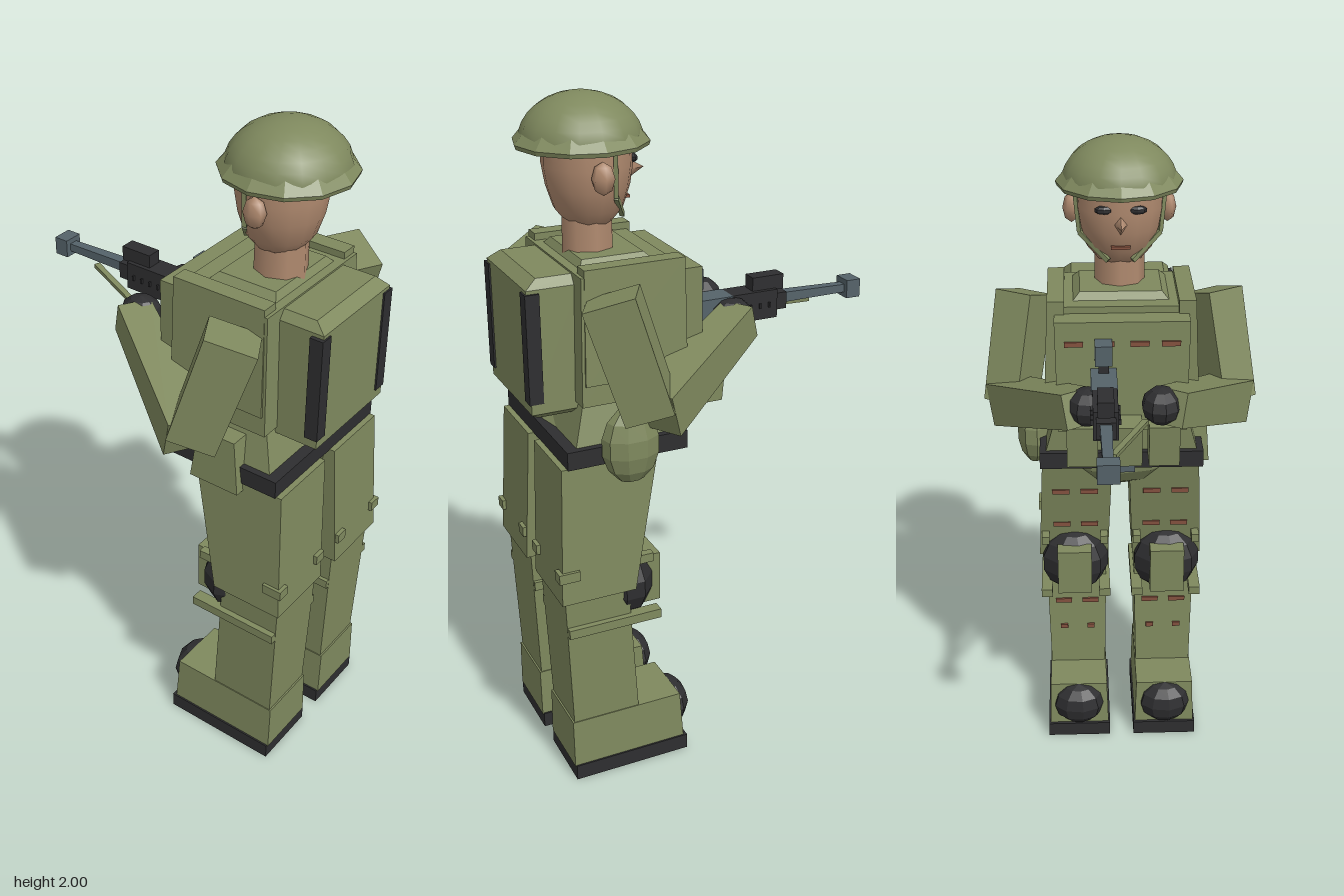
import * as THREE from 'three';

const mat = (name, color, flat = true) => {
  const m = new THREE.MeshStandardMaterial({ color, flatShading: flat });
  m.name = name;
  return m;
};

export function createModel() {
  const model = new THREE.Group();
  model.name = 'soldier';
  const olive = mat('olive cloth', 0x7f895e);
  const smoothOlive = mat('helmet olive', 0x7f895e, false);
  const dark = mat('black rubber', 0x2e2e30);
  const skin = mat('skin', 0xb08a6f, false);
  const metal = mat('gun metal', 0x55636a);
  const red = mat('rust trim', 0x85523f);

  const add = (name, geo, m, x = 0, y = 0, z = 0) => {
    const mesh = new THREE.Mesh(geo, m);
    mesh.name = name;
    mesh.position.set(x, y, z);
    model.add(mesh);
    return mesh;
  };

  // Tapered block between two rectangles [x0, x1, z0, z1] at heights y0 and y1
  const block = (name, m, y0, a, y1, b = a) => {
    const g = new THREE.BoxGeometry(1, 1, 1);
    const p = g.attributes.position;
    for (let i = 0; i < p.count; i++) {
      const r = p.getY(i) < 0 ? a : b;
      p.setXYZ(i, p.getX(i) < 0 ? r[0] : r[1], p.getY(i) < 0 ? y0 : y1, p.getZ(i) < 0 ? r[2] : r[3]);
    }
    g.computeVertexNormals();
    return add(name, g, m);
  };

  // Box running from point a to point b, narrowing by the factor taper
  const limb = (name, m, a, b, w, h, taper = 1) => {
    const A = new THREE.Vector3(...a), B = new THREE.Vector3(...b);
    const g = new THREE.BoxGeometry(w, h, A.distanceTo(B));
    const p = g.attributes.position;
    for (let i = 0; i < p.count; i++)
      if (p.getZ(i) > 0) p.setXY(i, p.getX(i) * taper, p.getY(i) * taper);
    const mesh = add(name, g, m);
    mesh.position.copy(A).add(B).multiplyScalar(0.5);
    mesh.lookAt(B);
    return mesh;
  };

  const ball = (name, m, c, r, seg = 9, rows = 6) => {
    const mesh = add(name, new THREE.SphereGeometry(1, seg, rows), m, ...c);
    mesh.scale.set(...r);
    return mesh;
  };
  const lathe = (pts, seg) => new THREE.LatheGeometry(pts.map(p => new THREE.Vector2(...p)), seg);
  // Rectangle for either side of the body
  const side = (s, x0, x1, z0, z1) => (s > 0 ? [x0, x1, z0, z1] : [-x1, -x0, z0, z1]);
  const trim = (name, w, x, y, z) => add(name, new THREE.BoxGeometry(w, 0.015, 0.009), red, x, y, z);

  // Head, facing -z
  add('head', lathe([[0, 1.642], [0.062, 1.645], [0.1, 1.69], [0.12, 1.75], [0.13, 1.81], [0.127, 1.89]], 16),
    skin, 0, 0, 0.29).scale.z = 0.95;
  add('neck', new THREE.CylinderGeometry(0.073, 0.075, 0.15, 8), skin, 0, 1.61, 0.295);
  const nose = add('nose', new THREE.ConeGeometry(0.022, 0.06, 4), skin, 0, 1.78, 0.155);
  nose.rotation.x = -Math.PI / 2;
  nose.scale.z = 1.6;
  add('mouth', new THREE.BoxGeometry(0.055, 0.008, 0.02), red, 0, 1.71, 0.188);
  for (const s of [-1, 1]) {
    ball('ear', skin, [s * 0.14, 1.795, 0.3], [0.026, 0.045, 0.033], 6, 4);
    ball('eye', dark, [s * 0.048, 1.822, 0.18], [0.028, 0.013, 0.014], 8, 5);
    limb('helmetStrap', olive, [s * 0.13, 1.87, 0.26], [s * 0.117, 1.735, 0.255], 0.012, 0.012);
    limb('chinStrap', olive, [s * 0.117, 1.735, 0.255], [s * 0.035, 1.665, 0.205], 0.012, 0.014);
  }

  // Helmet
  const dome = add('helmetDome', new THREE.SphereGeometry(1, 16, 8, 0, Math.PI * 2, 0, Math.PI / 2), smoothOlive, 0, 1.87, 0.305);
  dome.scale.set(0.168, 0.13, 0.168);
  add('helmetBrim', lathe([[0, 1.872], [0.15, 1.872], [0.182, 1.86], [0.186, 1.872], [0.158, 1.905]], 12), olive, 0, 0, 0.305);

  // Torso, chest plate, shoulder straps and collar
  block('torso', olive, 1.2, [-0.225, 0.225, 0.11, 0.41], 1.56, [-0.215, 0.215, 0.11, 0.4]);
  block('waist', olive, 1.07, [-0.235, 0.235, 0.13, 0.44], 1.2, [-0.2, 0.2, 0.12, 0.4]);
  block('collar', olive, 1.55, [-0.15, 0.15, 0.15, 0.38], 1.58, [-0.12, 0.12, 0.18, 0.36]);
  block('chestPlate', olive, 1.2, [-0.19, 0.19, 0.035, 0.12], 1.54, [-0.195, 0.195, 0.04, 0.12]);
  for (const s of [-1, 1])
    block('shoulderStrap', olive, 1.26, side(s, 0.17, 0.23, 0.1, 0.4), 1.58, side(s, 0.165, 0.215, 0.1, 0.39));
  for (const x of [-0.14, -0.05, 0.05, 0.14]) trim('chestTrim', 0.055, x, 1.475, 0.037);
  for (const x of [-0.12, -0.01, 0.12])
    block('chestPouch', olive, 1.12, [x - 0.045, x + 0.045, -0.04, 0.05], 1.25, [x - 0.045, x + 0.045, -0.052, 0.07]);

  // Backpack with black straps
  block('backpack', olive, 1.18, [-0.165, 0.17, 0.39, 0.535], 1.53, [-0.16, 0.165, 0.39, 0.535]);
  block('packLid', olive, 1.53, [-0.16, 0.165, 0.39, 0.535], 1.555, [-0.14, 0.145, 0.39, 0.5]);
  block('packBase', olive, 1.16, [-0.14, 0.145, 0.39, 0.51], 1.18, [-0.165, 0.17, 0.39, 0.535]);
  for (const s of [-1, 1])
    block('packStrap', dark, 1.21, side(s, 0.132, 0.172, 0.5, 0.54), 1.52);

  // Belt, hips and belt gear
  block('belt', dark, 1.035, [-0.25, 0.25, 0.11, 0.468], 1.088);
  block('buckle', metal, 1.03, [-0.04, 0.04, 0.09, 0.12], 1.09);
  ball('hips', olive, [0, 1.035, 0.31], [0.2, 0.14, 0.15], 12, 8);
  ball('canteen', olive, [0.268, 1.09, 0.29], [0.056, 0.115, 0.085], 9, 7);
  block('beltPouch', olive, 1.01, [-0.275, -0.2, 0.2, 0.36], 1.17, [-0.265, -0.2, 0.22, 0.34]);

  for (const s of [-1, 1]) {
    // Legs
    block('thigh', olive, 0.625, side(s, 0.04, 0.265, 0.28, 0.505), 1.037, side(s, 0.025, 0.245, 0.2, 0.485));
    block('shin', olive, 0.18, side(s, 0.053, 0.235, 0.265, 0.472), 0.63, side(s, 0.045, 0.245, 0.295, 0.49));
    for (const x of [0.053, 0.243]) {
      block('shinStrap', olive, 0.507, side(s, x - 0.018, x + 0.018, 0.2, 0.485), 0.535);
      block('kneeStrap', olive, 0.698, side(s, x - 0.012, x + 0.012, 0.22, 0.44), 0.725);
      block('strapStud', olive, 0.698, side(s, x - 0.013, x + 0.026, 0.45, 0.512), 0.728);
    }
    ball('kneePad', dark, [s * 0.15, 0.61, 0.275], [0.112, 0.112, 0.085], 9, 7);
    block('kneePlate', olive, 0.535, side(s, 0.095, 0.205, 0.178, 0.23), 0.69);
    for (const x of [0.1, 0.19]) {
      trim('thighTrim', 0.055, s * x, 0.89, 0.226);
      trim('kneeTrim', 0.055, s * x, 0.755, 0.253);
      trim('shinTrim', 0.055, s * x, 0.44, 0.281);
      trim('ankleTrim', 0.025, s * x, 0.34, 0.274);
    }

    // Boots
    block('sole', dark, 0, side(s, 0.04, 0.248, 0.11, 0.475), 0.048);
    block('boot', olive, 0.045, side(s, 0.045, 0.243, 0.12, 0.478), 0.2, side(s, 0.05, 0.238, 0.13, 0.478));
    ball('toeCap', dark, [s * 0.145, 0.125, 0.13], [0.085, 0.075, 0.06], 9, 6);

    // Arms and gloved hands
    limb('upperArm', olive, [s * 0.285, 1.52, 0.345], [s * 0.335, 1.2, 0.255], 0.12, 0.145, 0.95);
    limb('forearm', olive, [s * 0.345, 1.205, 0.245], [s * 0.127, 1.345, -0.115], 0.125, 0.13, 0.78);
    ball('hand', dark, [s * 0.105, 1.345, -0.1], [0.058, 0.055, 0.065], 9, 6);
  }

  // Rifle pointing along -z
  const gunX = 0.055;
  const gun = (name, m, w, y0, y1, z0, z1) =>
    block(name, m, y0, [gunX - w / 2, gunX + w / 2, z0, z1], y1);
  gun('receiver', metal, 0.075, 1.32, 1.4, -0.11, 0.045);
  gun('handguard', dark, 0.07, 1.315, 1.4, -0.255, -0.1);
  gun('gripRail', dark, 0.055, 1.335, 1.385, -0.29, -0.25);
  gun('frontSight', dark, 0.045, 1.395, 1.44, -0.28, -0.18);
  gun('rearSight', metal, 0.05, 1.43, 1.49, -0.02, 0.045);
  gun('rearSightPost', dark, 0.03, 1.39, 1.44, 0, 0.03);
  gun('muzzle', metal, 0.06, 1.335, 1.39, -0.54, -0.495);
  gun('magazine', dark, 0.045, 1.25, 1.33, -0.07, -0.02);
  limb('barrel', metal, [gunX, 1.365, -0.28], [gunX, 1.362, -0.5], 0.034, 0.03, 0.8);
  for (let i = 0; i < 4; i++)
    gun('rib', dark, 0.085, 1.35, 1.365, -0.23 + i * 0.03, -0.225 + i * 0.03);
  limb('sling', olive, [-0.06, 1.305, -0.12], [0.04, 1.337, -0.39], 0.018, 0.012);

  return model;
}
